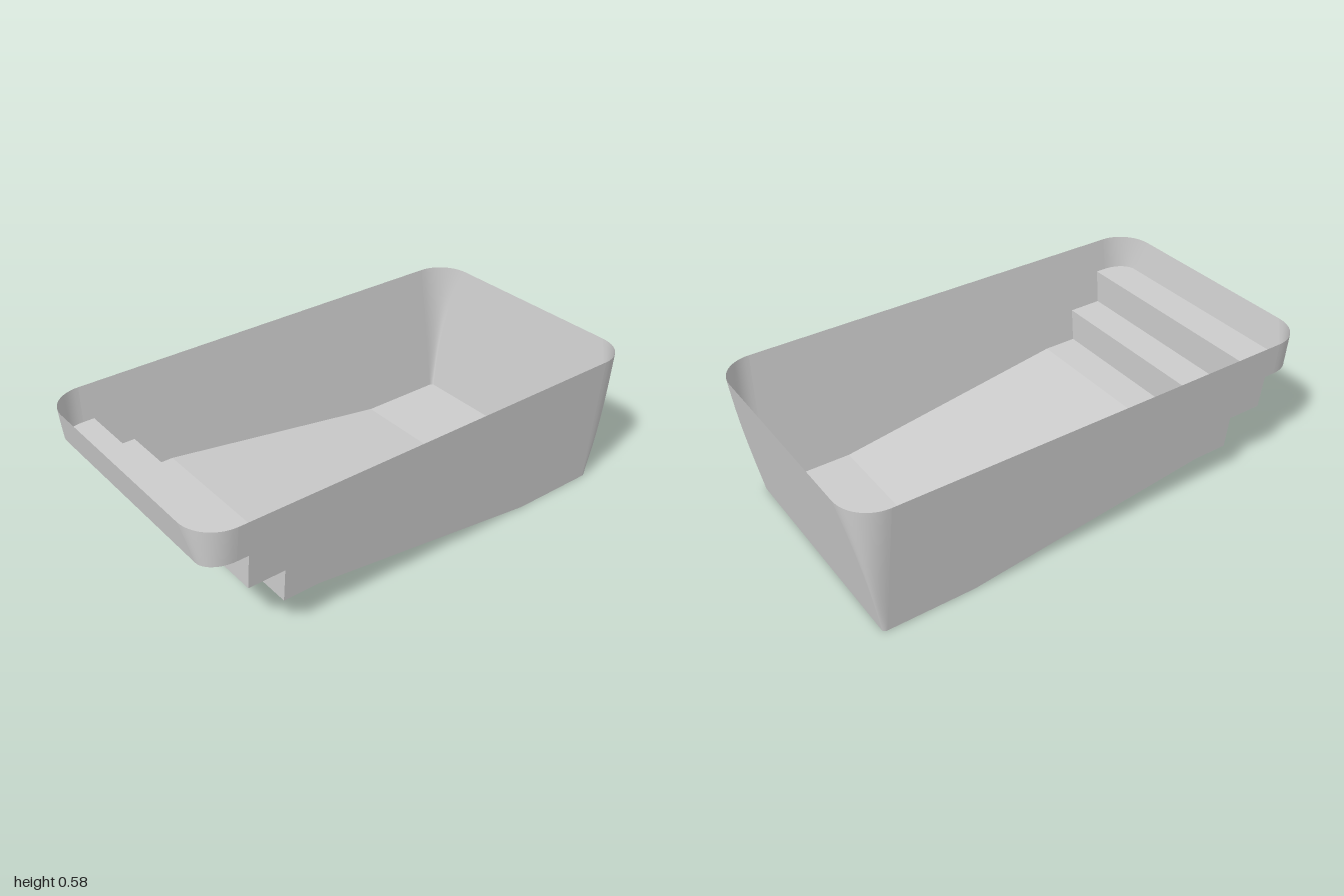
import * as THREE from 'three';

// Plan size of the tapered basin at height y
const H = 0.585, STEP = 0.44;
const halfX = y => 0.9 + 0.1 * y / H;
const halfZ = y => 0.487 + 0.062 * y / H;
const radX = y => 0.015 + 0.125 * y / H;
const radZ = y => 0.012 + 0.13 * Math.pow(y / H, 2.4);

// Floor profile: steps, shallow end, slope, deep end
const PROFILE = [[-0.82, STEP], [-0.82, 0.293], [-0.67, 0.293], [-0.67, 0.148],
  [-0.52, 0.148], [0.52, 0], [halfX(0) - radX(0), 0]];

// Point on the rounded corner: a = 0 at the side wall, PI/2 at the end wall
function cornerPoint(a, y) {
  return [halfX(y) - radX(y) * (1 - Math.sin(a)), halfZ(y) - radZ(y) * (1 - Math.cos(a))];
}

// Sheet from a rule f(u, v) -> [x, y, z]
function sheet(f, nu, nv, flip) {
  const pos = [], idx = [];
  for (let j = 0; j <= nv; j++)
    for (let i = 0; i <= nu; i++) pos.push(...f(i / nu, j / nv));
  for (let j = 0; j < nv; j++)
    for (let i = 0; i < nu; i++) {
      const a = j * (nu + 1) + i, b = a + 1, c = a + nu + 1, d = c + 1;
      idx.push(...(flip ? [a, c, b, b, c, d] : [a, b, c, b, d, c]));
    }
  const g = new THREE.BufferGeometry();
  g.setAttribute('position', new THREE.Float32BufferAttribute(pos, 3));
  g.setIndex(idx);
  g.computeVertexNormals();
  return g;
}

export function createModel() {
  const group = new THREE.Group();
  const shell = new THREE.MeshStandardMaterial({ color: 0xcccccc, side: THREE.DoubleSide });
  shell.name = 'shell grey';
  const add = (name, geometry) => {
    const m = new THREE.Mesh(geometry, shell);
    m.name = name;
    group.add(m);
  };

  // Side walls: stepped outline leaned outward
  const edge = y => halfX(y) - radX(y);
  const outline = [[-edge(H), H], [-edge(STEP), STEP], ...PROFILE, [edge(H), H]];
  for (const s of [1, -1]) {
    const pts = outline.map(([x, y]) => new THREE.Vector2(s * x, y));
    const g = new THREE.ShapeGeometry(new THREE.Shape(pts));
    const p = g.attributes.position;
    for (let i = 0; i < p.count; i++) p.setZ(i, halfZ(p.getY(i)));
    if (s < 0) g.rotateY(Math.PI);
    g.computeVertexNormals();
    add(s > 0 ? 'frontWall' : 'backWall', g);
  }

  // End walls and the four corners, which tighten toward the bottom
  for (const sx of [1, -1]) {
    const low = sx > 0 ? 0 : STEP;
    const height = v => low + (H - low) * v;
    add(sx > 0 ? 'deepEndWall' : 'stepEndWall', sheet((u, v) => {
      const y = height(v);
      return [sx * halfX(y), y, (1 - 2 * u) * (halfZ(y) - radZ(y))];
    }, 1, 24, sx < 0));
    for (const sz of [1, -1]) {
      add('corner', sheet((u, v) => {
        const y = height(v), [x, z] = cornerPoint(u * Math.PI / 2, y);
        return [sx * x, y, sz * z];
      }, 12, 24, sx * sz < 0));
    }
  }

  // Floor and steps: one strip of cross-sections with rounded ends
  const sections = [], N = 12;
  for (let i = N; i >= 0; i--) {
    const [x, z] = cornerPoint(i / N * Math.PI / 2, STEP);
    sections.push([-x, STEP, z]);
  }
  for (const [x, y] of PROFILE) sections.push([x, y, halfZ(y)]);
  for (let i = 1; i <= N; i++) {
    const [x, z] = cornerPoint(i / N * Math.PI / 2, 0);
    sections.push([x, 0, z]);
  }
  const last = sections.length - 1;
  const floor = sheet((u, v) => {
    const [x, y, z] = sections[Math.round(v * last)];
    return [x, y, (2 * u - 1) * z];
  }, 1, last, true).toNonIndexed();
  floor.computeVertexNormals();
  add('floorAndSteps', floor);

  return group;
}
